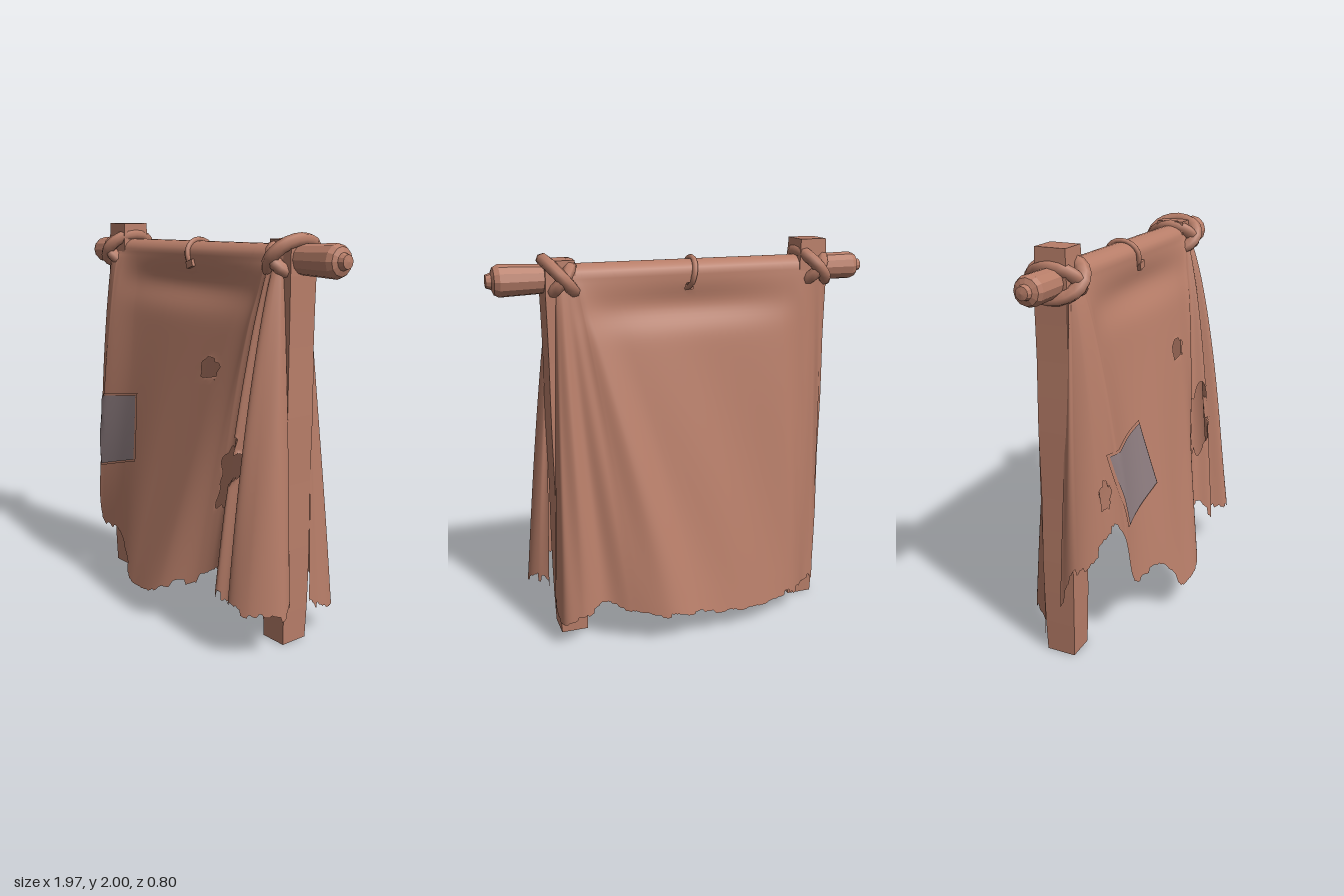
import * as THREE from 'three';

const cloth = new THREE.MeshStandardMaterial({ color: 0xb87e69, side: THREE.DoubleSide });
cloth.name = 'reddish brown cloth';
const wood = new THREE.MeshStandardMaterial({ color: 0xb87e69, flatShading: true });
wood.name = 'reddish brown wood';
const grey = new THREE.MeshStandardMaterial({ color: 0x8e7d80, side: THREE.DoubleSide });
grey.name = 'grey patch';

const POLE_Y = 1.85, WRAP = 0.08, WRAP_HEIGHT = 0.068;

function rng(seed) {
  return () => (seed = (seed * 16807) % 2147483647) / 2147483647;
}

function add(group, name, geometry, material) {
  const mesh = new THREE.Mesh(geometry, material);
  mesh.name = name;
  group.add(mesh);
  return mesh;
}

// Grid of points turned into a smooth surface; keep() can drop faces
function gridGeometry(cols, rows, at, keep = () => true) {
  const pos = [], index = [];
  for (let i = 0; i <= cols; i++)
    for (let j = 0; j <= rows; j++) pos.push(...at(i, j).toArray());
  const tri = (a, b, c) => { if (keep(a, b, c)) index.push(a, b, c); };
  for (let i = 0; i < cols; i++)
    for (let j = 0; j < rows; j++) {
      const a = i * (rows + 1) + j, b = a + rows + 1;
      tri(a, a + 1, b);
      tri(b, a + 1, b + 1);
    }
  const g = new THREE.BufferGeometry();
  g.setAttribute('position', new THREE.Float32BufferAttribute(pos, 3));
  g.setIndex(index);
  g.computeVertexNormals();
  return g;
}

// Hanging sheet: each control row is [x at pole, x at hem, z at hem, hem height].
// flare is the profile exponent beside the posts, sag is added to it mid-span.
function makeSheet(rows, side, flare, sag, spread) {
  const hem = new THREE.CatmullRomCurve3(rows.map(r => new THREE.Vector3(r[1], r[3], r[2])), false, 'centripetal');
  const top = new THREE.CatmullRomCurve3(rows.map(r => new THREE.Vector3(r[0], 0, 0)), false, 'centripetal');
  const point = (t, y) => {
    const s = Math.max(0, (POLE_Y - y) / 1.62), b = hem.getPoint(t);
    const power = flare + sag * Math.max(0, 1 - ((b.x + 0.1) / 0.45) ** 2);
    const x = THREE.MathUtils.lerp(top.getPoint(t).x, b.x, Math.pow(s, spread));
    const z = THREE.MathUtils.lerp(side * WRAP, b.z, Math.pow(s, power));
    const ripple = 0.006 * Math.sin(t * 50 + s * 4) * Math.sin(Math.min(1, s) * Math.PI * 0.8);
    // cloth tucks in just under the pole between the posts
    const tuck = 0.035 * Math.max(0, 1 - (x / 0.6) ** 2) * Math.exp(-(((y - 1.7) / 0.09) ** 2));
    return new THREE.Vector3(x, y, z + side * (ripple - tuck));
  };
  return { hem, point };
}

function sheetGeometry({ hem, point }, side, holes, jag, seed) {
  const cols = 240, arc = 6, drop = 80, rand = rng(seed), torn = new Set();
  const hemY = [];
  let step = 0;
  for (let i = 0; i <= cols; i++) {
    if (i % 5 === 0) step = (rand() - 0.5) * 2 * jag;
    hemY.push(hem.getPoint(i / cols).y + step + (rand() - 0.5) * 0.3 * jag);
  }
  const at = (i, j) => {
    const t = i / cols;
    if (j < arc) { // over the pole
      const a = (1 - j / arc) * Math.PI / 2;
      return point(t, POLE_Y).setY(POLE_Y + WRAP_HEIGHT * Math.sin(a)).setZ(side * WRAP * Math.cos(a));
    }
    const p = point(t, THREE.MathUtils.lerp(POLE_Y, hemY[i], (j - arc) / drop));
    for (const [hx, hy, rx, ry, tilt] of holes) { // push points out to the torn rim
      const dx = (p.x - hx - tilt * (p.y - hy)) / rx, dy = (p.y - hy) / ry;
      const d = Math.hypot(dx, dy), a = Math.atan2(dy, dx);
      const r = 1 + 0.16 * Math.sin(5 * a) + 0.1 * Math.sin(11 * a + 1);
      if (d < r && d > 1e-4) {
        torn.add(i * (arc + drop + 1) + j);
        p.y = hy + dy / d * r * ry;
        p.x = hx + dx / d * r * rx + tilt * (p.y - hy);
      }
    }
    return p;
  };
  return gridGeometry(cols, arc + drop, at, (a, b, c) => !(torn.has(a) && torn.has(b) && torn.has(c)));
}

// Patch laid on the front sheet
function patchGeometry(sheet, grow, lift) {
  const c = [[-0.64, 1.05], [-0.31, 1.1], [-0.24, 0.77], [-0.56, 0.68]]
    .map(([x, y]) => [-0.44 + (x + 0.44) * grow, 0.9 + (y - 0.9) * grow]);
  const n = 12, mix = THREE.MathUtils.lerp;
  return gridGeometry(n, n, (i, j) => {
    const u = i / n, v = j / n;
    const x = mix(mix(c[0][0], c[1][0], u), mix(c[3][0], c[2][0], u), v);
    const y = mix(mix(c[0][1], c[1][1], u), mix(c[3][1], c[2][1], u), v);
    let lo = 0.08, hi = 0.48;
    for (let k = 0; k < 24; k++) {
      const m = (lo + hi) / 2;
      if (sheet.point(m, y).x < x) lo = m; else hi = m;
    }
    return new THREE.Vector3(x, y, sheet.point(lo, y).z + lift);
  });
}

// Square post, slightly tapered at its ends
function postGeometry(w, d, h) {
  const g = new THREE.BoxGeometry(w, h, d, 1, 12, 1), p = g.attributes.position;
  for (let i = 0; i < p.count; i++) {
    const y = p.getY(i), k = Math.abs(y) > h / 2 - 0.01 ? 0.92 : 1 + 0.02 * Math.sin(y * 9);
    p.setX(i, p.getX(i) * k);
    p.setZ(i, p.getZ(i) * k);
  }
  return g.translate(0, h / 2, 0);
}

// Rope loop around a joint, tilted in the front plane
function ropeLoop(group, name, x, y, rx, rz, tube, angle) {
  const m = add(group, name, new THREE.TorusGeometry(1, tube / rx, 7, 20), cloth);
  m.geometry.scale(rx, rz, rx).rotateX(Math.PI / 2).rotateZ(angle);
  m.position.set(x, y, 0);
}

export function createModel() {
  const root = new THREE.Group();
  root.name = 'tattered cloth stand';

  // Posts
  add(root, 'rightPost', postGeometry(0.15, 0.16, 2), wood).position.x = -0.675;
  add(root, 'leftPost', postGeometry(0.15, 0.16, 1.94), wood).position.x = 0.64;

  // Cross pole with thicker ends and worn tips
  const outline = [[0, -0.985], [0.03, -0.98], [0.035, -0.955], [0.06, -0.945], [0.07, -0.92], [0.065, -0.6],
    [0.063, 0], [0.065, 0.6], [0.078, 0.92], [0.065, 0.945], [0.04, 0.955], [0.032, 0.98], [0, 0.985]];
  const pole = add(root, 'crossPole', new THREE.LatheGeometry(outline.map(p => new THREE.Vector2(...p)), 12), wood);
  pole.rotation.z = -Math.PI / 2;
  pole.position.y = POLE_Y;

  // Front sheet, gathered into folds at both posts
  const front = makeSheet([
    [-0.72, -0.775, 0.02, 0.32], [-0.72, -0.79, 0.12, 0.48], [-0.71, -0.71, 0.22, 0.6], [-0.68, -0.59, 0.3, 0.66],
    [-0.64, -0.53, 0.32, 0.38], [-0.48, -0.3, 0.355, 0.32], [0.05, -0.1, 0.385, 0.17], [0.46, 0.12, 0.375, 0.21],
    [0.56, 0.3, 0.28, 0.27], [0.585, 0.42, 0.26, 0.33], [0.6, 0.5, 0.33, 0.25], [0.615, 0.56, 0.29, 0.26],
    [0.63, 0.64, 0.37, 0.27], [0.645, 0.74, 0.33, 0.23], [0.655, 0.83, 0.2, 0.2], [0.66, 0.79, 0.11, 0.24],
    [0.665, 0.74, 0.07, 0.22]], 1, 0.62, 0.42, 0.8);
  const tears = [[0.27, 1.32, 0.075, 0.05, 0], [0.48, 0.84, 0.07, 0.19, 0.25], [0, 1.79, 0.032, 0.026, 0],
    [-0.665, 0.86, 0.03, 0.07, 0]];
  add(root, 'frontSheet', sheetGeometry(front, 1, tears, 0.04, 77), cloth);

  // Back sheet, pulled across from the left joint
  const back = makeSheet([
    [-0.73, -0.745, -0.088, 0.1], [-0.69, -0.69, -0.11, 0.1], [-0.62, -0.6, -0.2, 0.11], [-0.5, -0.48, -0.275, 0.12],
    [0, -0.22, -0.315, 0.12], [0.38, 0.04, -0.35, 0.14], [0.54, 0.22, -0.385, 0.17], [0.58, 0.4, -0.31, 0.2],
    [0.605, 0.52, -0.265, 0.23], [0.63, 0.64, -0.275, 0.18], [0.65, 0.72, -0.23, 0.14], [0.66, 0.74, -0.13, 0.16],
    [0.665, 0.735, -0.075, 0.2]], -1, 0.88, 0.15, 0.92);
  add(root, 'backSheet', sheetGeometry(back, -1, [[0, 1.79, 0.032, 0.026, 0]], 0.018, 4242), cloth);

  // Sewn patch with its cloth border
  add(root, 'patchBorder', patchGeometry(front, 1.06, 0.008), cloth);
  add(root, 'patch', patchGeometry(front, 1, 0.014), grey);

  // Rope lashings crossed over the joints
  for (const [side, x] of [['right', -0.69], ['left', 0.635]]) {
    ropeLoop(root, side + 'LashingA', x, 1.86, 0.105, 0.125, 0.032, 0.85);
    ropeLoop(root, side + 'LashingB', x, 1.85, 0.085, 0.11, 0.03, -0.9);
  }

  // Small tie around the middle of the pole, with a hanging end
  ropeLoop(root, 'middleTie', -0.025, POLE_Y, 0.076, 0.085, 0.014, 1.75);
  const tail = add(root, 'middleTieEnd', new THREE.BoxGeometry(0.05, 0.035, 0.02), cloth);
  tail.position.set(0, 1.805, 0.085);
  tail.rotation.z = 0.3;
  return root;
}
